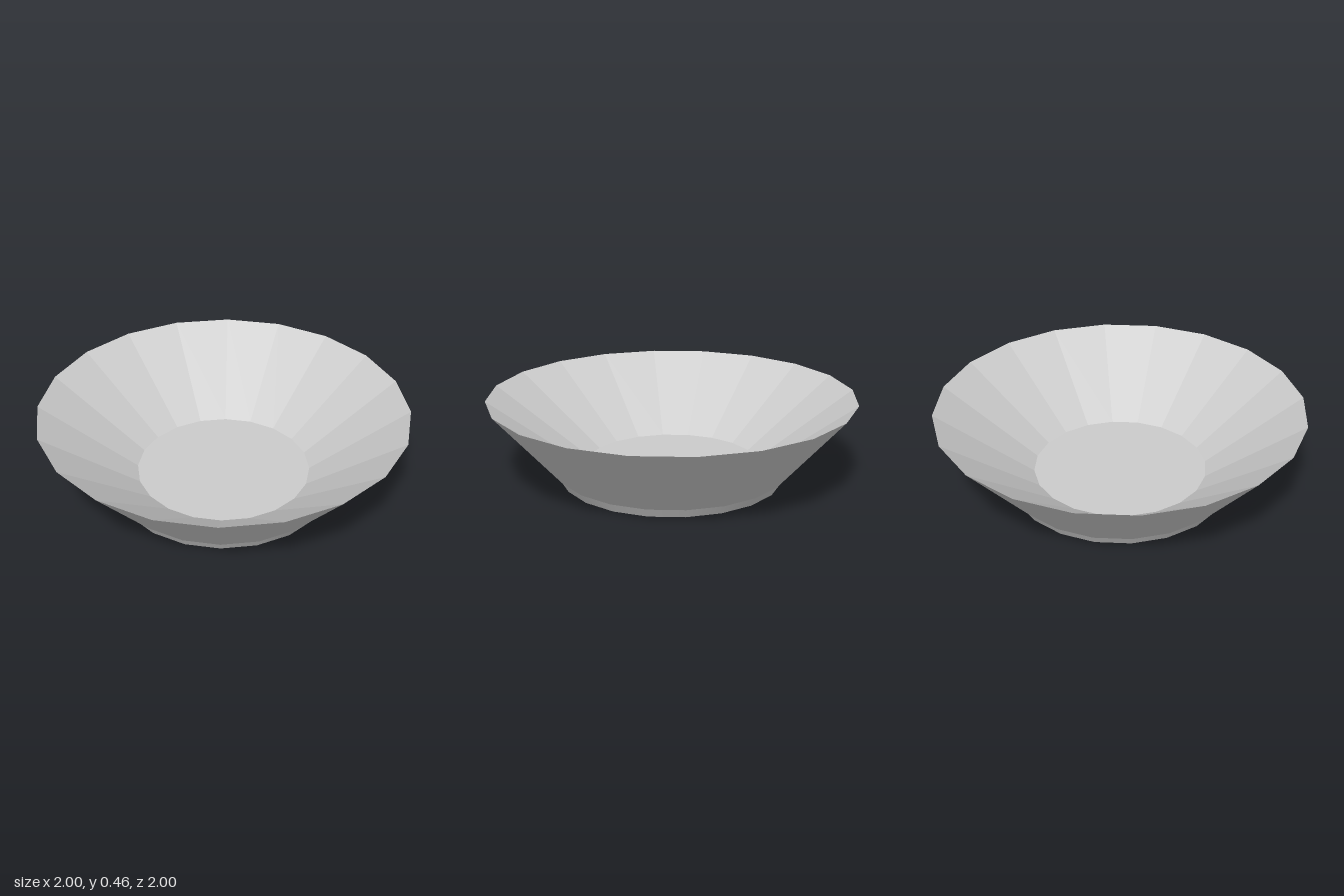
import * as THREE from 'three';

const SIDES = 20;

// Ring-shaped surface swept from [radius, height] points; profiles running up face outward
function ring(name, points, flatShading) {
  const profile = points.map(([r, y]) => new THREE.Vector2(r, y));
  const material = new THREE.MeshStandardMaterial({ color: 0xcccccc, flatShading });
  const mesh = new THREE.Mesh(new THREE.LatheGeometry(profile, SIDES), material);
  mesh.name = name;
  return mesh;
}

// Flat disc facing up or down
function disc(name, radius, y, facing) {
  const geometry = new THREE.CircleGeometry(radius, SIDES).rotateX(-facing * Math.PI / 2);
  const material = new THREE.MeshStandardMaterial({ color: 0xcccccc, flatShading: true });
  const mesh = new THREE.Mesh(geometry, material);
  mesh.name = name;
  mesh.position.y = y;
  return mesh;
}

export function createModel() {
  const bowl = new THREE.Group();
  bowl.name = 'bowl';

  const rim = [1, 0.46];
  const footTop = [0.635, 0.05];

  bowl.add(
    // Faceted walls meeting in a sharp rim
    ring('outerWall', [footTop, rim], true),
    ring('innerWall', [rim, [0.475, 0.08]], true),
    // Smooth, steeper band around the foot
    ring('footBand', [[0.605, 0], footTop], false),
    // Inside floor and underside
    disc('floor', 0.475, 0.08, 1),
    disc('underside', 0.605, 0, -1),
  );
  return bowl;
}
